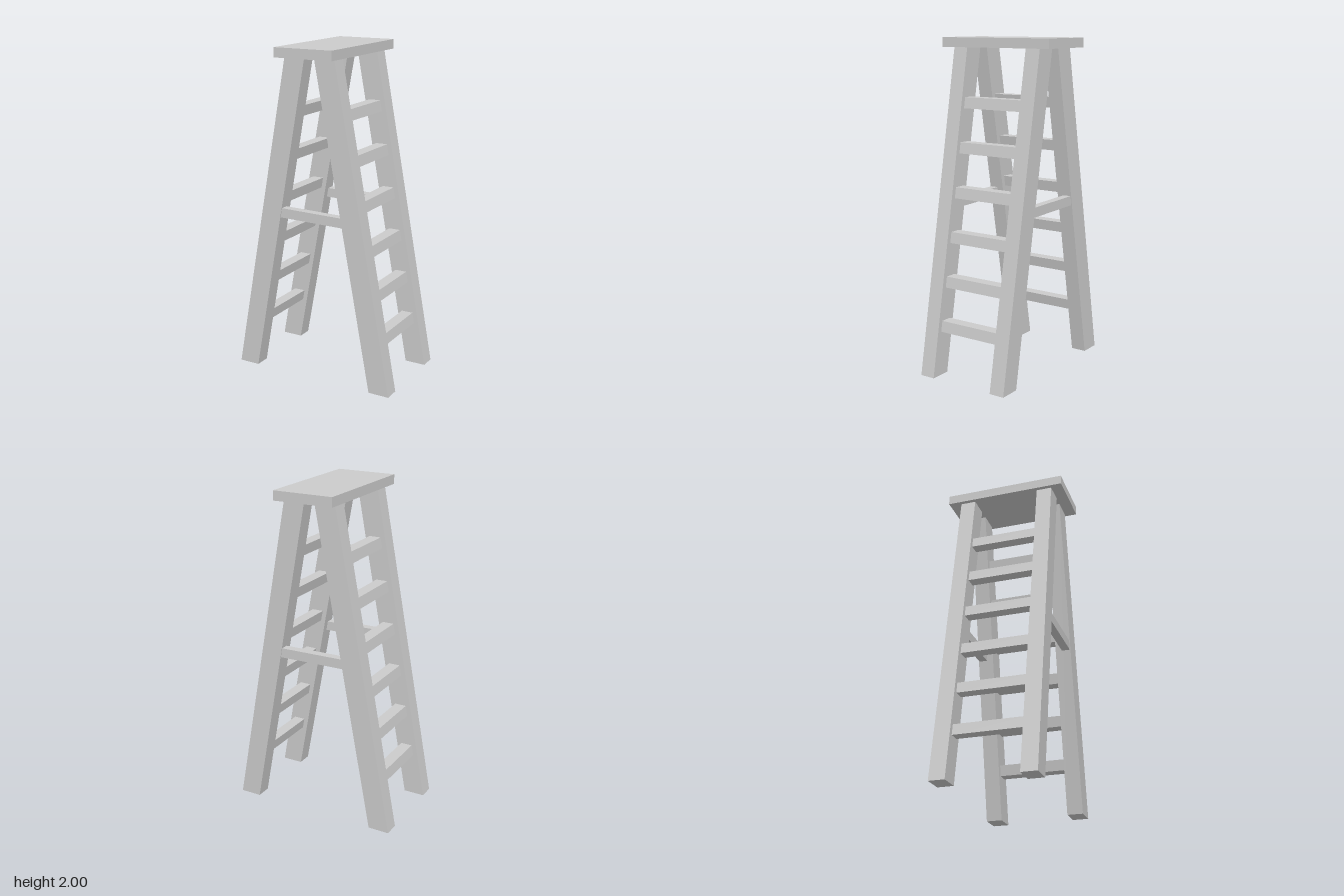
import * as THREE from 'three';

const SLOPE = 0.186; // inward lean of the legs per unit of height

export function createModel() {
  const group = new THREE.Group();
  const material = new THREE.MeshStandardMaterial({ color: 0xcccccc, flatShading: true });

  // box with level top and bottom, leaning in x by "lean" and tilting in y by "tilt"
  function beam(name, w, h, d, x, y, z, lean = 0, tilt = 0) {
    const geometry = new THREE.BoxGeometry(w, h, d);
    const p = geometry.attributes.position;
    for (let i = 0; i < p.count; i++) {
      const px = p.getX(i), py = p.getY(i);
      p.setXY(i, px + py * lean, py + px * tilt);
    }
    geometry.computeVertexNormals();
    const mesh = new THREE.Mesh(geometry, material);
    mesh.name = name;
    mesh.position.set(x, y, z);
    group.add(mesh);
  }

  // top platform
  beam('topPlatform', 0.373, 0.057, 0.75, -0.003, 1.9715, 0);

  for (const side of [1, -1]) {
    const sideName = side > 0 ? 'left' : 'right';
    const centreAt = (y) => side * (0.458 - SLOPE * y) - 0.002;

    // leaning legs, front and back
    for (const end of [1, -1]) {
      beam(`${sideName}${end > 0 ? 'Front' : 'Back'}Leg`, 0.13, 1.944, 0.095,
        centreAt(0.972), 0.972, end * 0.254 + 0.002, -side * SLOPE);
    }

    // rungs between the legs
    for (let i = 0; i < 6; i++) {
      const y = 0.302 + i * 0.2635;
      beam(`${sideName}Rung${i + 1}`, 0.072, 0.065, 0.414, centreAt(y), y, 0.002, -side * SLOPE);
    }
  }

  // cross braces joining the two sides
  for (const end of [1, -1]) {
    beam(end > 0 ? 'frontBrace' : 'backBrace', 0.43, 0.058, 0.05,
      -0.003, 1.018, end * 0.272 + 0.002, 0, -0.015);
  }

  return group;
}
